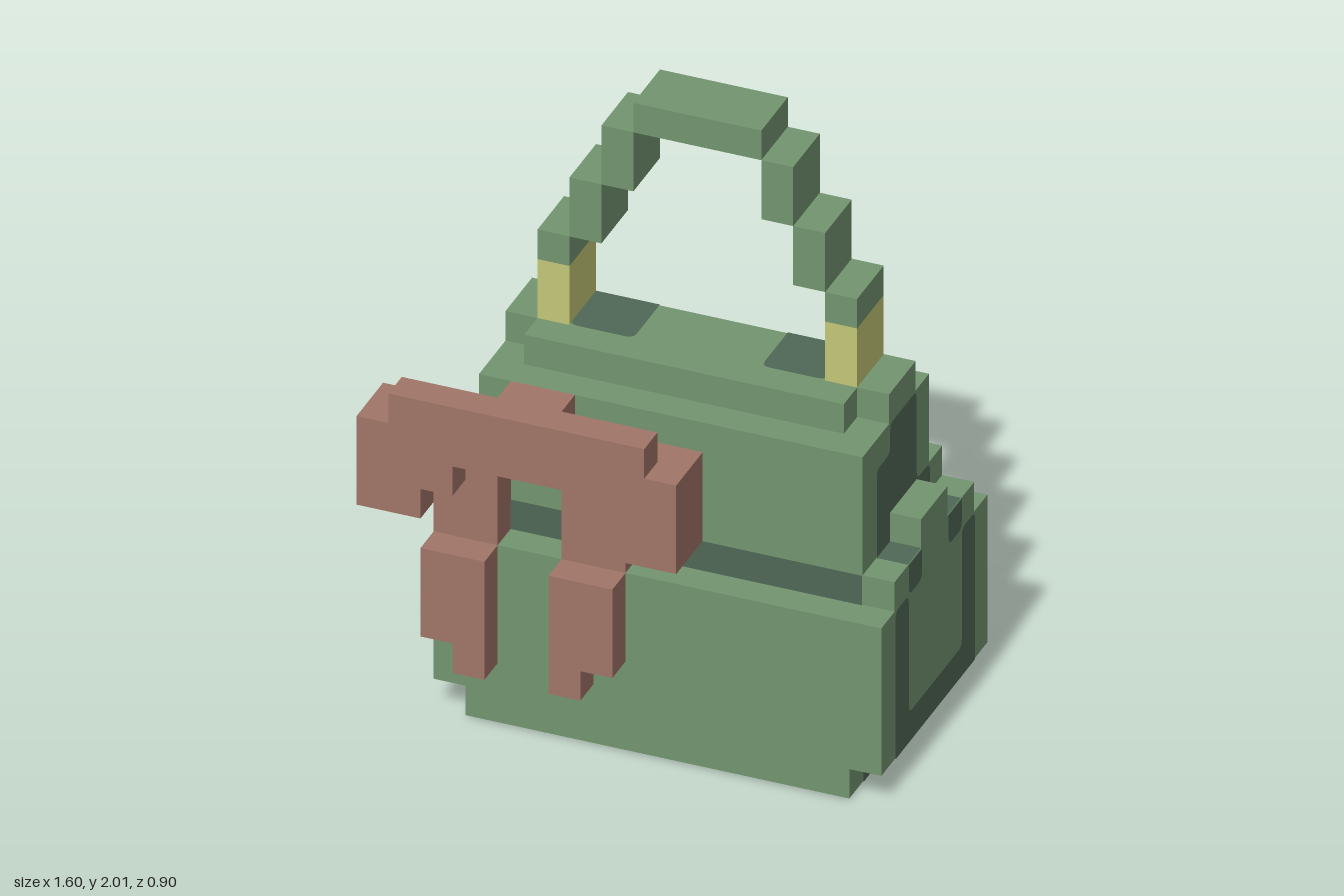
import * as THREE from 'three';

const mat = (name, color) => Object.assign(new THREE.MeshStandardMaterial({ color }), { name });

export function createModel() {
  const green = mat('green', 0x739570);
  const dark = mat('darkGreen', 0x506857);
  const yellow = mat('yellow', 0xc4c778);
  const red = mat('red', 0xa17568);
  const model = new THREE.Group();
  model.name = 'handbag';

  const group = (name) => {
    const g = new THREE.Group();
    g.name = name;
    model.add(g);
    return g;
  };

  // box given by its extents on each axis
  const box = (parent, name, material, x0, x1, y0, y1, z0, z1) => {
    const m = new THREE.Mesh(new THREE.BoxGeometry(x1 - x0, y1 - y0, z1 - z0), material);
    m.position.set((x0 + x1) / 2, (y0 + y1) / 2, (z0 + z1) / 2);
    m.name = name;
    parent.add(m);
  };

  // flat painted patch: points are (z,y) on sides, (x,z) on top and bottom, (x,y) on front and back
  const H = Math.PI / 2;
  const faces = {
    right: { rot: [0, H, 0], uv: (a, b) => [-a, b], n: [1, 0, 0] },
    left: { rot: [0, -H, 0], uv: (a, b) => [a, b], n: [-1, 0, 0] },
    top: { rot: [-H, 0, 0], uv: (a, b) => [a, -b], n: [0, 1, 0] },
    bottom: { rot: [H, 0, 0], uv: (a, b) => [a, b], n: [0, -1, 0] },
    front: { rot: [0, 0, 0], uv: (a, b) => [a, b], n: [0, 0, 1] },
    back: { rot: [0, Math.PI, 0], uv: (a, b) => [-a, b], n: [0, 0, -1] },
  };
  const paint = (parent, name, material, face, depth, pts, radius = 0, lift = 0.003) => {
    const f = faces[face];
    const p = pts.map(([a, b]) => new THREE.Vector2(...f.uv(a, b)));
    const shape = new THREE.Shape();
    p.forEach((c, i) => {
      const toward = (q) => c.clone().add(q.clone().sub(c).setLength(pts[i][2] ?? radius));
      const s = toward(p[(i + p.length - 1) % p.length]);
      const e = toward(p[(i + 1) % p.length]);
      if (i) shape.lineTo(s.x, s.y); else shape.moveTo(s.x, s.y);
      if ((pts[i][2] ?? radius) > 0) shape.quadraticCurveTo(c.x, c.y, e.x, e.y);
    });
    shape.closePath();
    const m = new THREE.Mesh(new THREE.ShapeGeometry(shape, 3), material);
    m.rotation.set(...f.rot);
    const sign = f.n[0] + f.n[1] + f.n[2];
    m.position.set(...f.n).multiplyScalar(depth * sign + lift);
    m.name = name;
    parent.add(m);
  };
  const rect = (a0, a1, b0, b1) => [[a0, b0], [a1, b0], [a1, b1], [a0, b1]];

  // lower body
  const body = group('body');
  box(body, 'base', green, -0.5, 0.7, 0, 0.1, -0.45, 0.35);
  box(body, 'lowerBody', green, -0.6, 0.8, 0.1, 0.6, -0.45, 0.35);
  box(body, 'rim', green, -0.6, 0.8, 0.6, 0.7, -0.35, 0.25);

  // upper body
  box(body, 'upperBody', green, -0.5, 0.7, 0.7, 1.1, -0.25, 0.25);
  box(body, 'backLedge', green, -0.5, 0.7, 0.7, 0.8, -0.35, -0.25);
  box(body, 'crown', green, -0.5, 0.7, 1.1, 1.2, -0.15, 0.05);
  box(body, 'crownFront', green, -0.4, 0.6, 1.1, 1.2, 0.05, 0.15);

  // dark trim on both ends
  const trim = group('darkTrim');
  const R = 0.025;
  for (const [side, face] of [[1, 'right'], [-1, 'left']]) {
    const outer = 0.1 + side * 0.7;
    const inner = 0.1 + side * 0.6;
    const x0 = Math.min(outer, inner), x1 = Math.max(outer, inner);
    box(body, 'sideTab', green, x0, x1, 0.7, 0.8, -0.15, 0.05);
    paint(trim, 'endBorder', dark, face, outer, [
      [-0.35, 0.1, 0], [0.25, 0.1, 0], [0.25, 0.6], [0.15, 0.6],
      [0.15, 0.2], [-0.25, 0.2], [-0.25, 0.6], [-0.35, 0.6],
    ], R);
    paint(trim, 'baseEnd', dark, face, inner, rect(-0.35, 0.25, 0, 0.1));
    paint(trim, 'underStep', dark, 'bottom', 0.1, rect(x0, x1, -0.35, 0.25));
    for (const z of [-0.25, 0.05]) {
      paint(trim, 'rimMark', dark, face, outer,
        [[z, 0.6, R], [z + 0.1, 0.6, R], [z + 0.1, 0.7], [z, 0.7]]);
      paint(trim, 'rimTopMark', dark, 'top', 0.7, rect(x0, x1, z, z + 0.1));
    }
    paint(trim, 'endPanel', dark, face, inner, [
      [0.15, 0.7, 0], [0.15, 1.0], [0.05, 1.0], [0.05, 1.1],
      [-0.15, 1.1], [-0.15, 0.8], [-0.25, 0.8], [-0.25, 0.7, 0],
    ], R);
  }

  // dark seam, underside and handle patches
  paint(trim, 'frontSeam', dark, 'front', 0.25, rect(-0.5, 0.7, 0.6, 0.7));
  paint(trim, 'underside', dark, 'bottom', 0, rect(-0.5, 0.7, -0.35, 0.25), 0, 0);
  trim.children.at(-1).position.y = -0.002;
  paint(trim, 'undersidePatch', green, 'bottom', 0, rect(-0.2, 0.4, -0.15, 0.05), R, 0.005);
  for (const x of [-0.3, 0.3]) {
    paint(trim, 'crownPatch', dark, 'top', 1.2,
      [[x, -0.15, 0], [x + 0.2, -0.15, 0], [x + 0.2, 0.05], [x, 0.05]], R);
    paint(trim, 'crownBackPatch', dark, 'back', -0.15,
      [[x, 1.1], [x + 0.2, 1.1], [x + 0.2, 1.2, 0], [x, 1.2, 0]], R);
  }

  // zip on the back with its pull
  const zip = group('zip');
  paint(zip, 'zipTrack', dark, 'back', -0.25, rect(-0.4, 0.6, 0.9, 1.0), R);
  for (const x of [-0.3, -0.1, 0.1, 0.3])
    paint(zip, 'zipTooth', yellow, 'back', -0.25, rect(x, x + 0.1, 0.9, 1.0), 0.015, 0.006);
  box(zip, 'zipPull', yellow, 0.5, 0.6, 0.8, 1.0, -0.35, -0.25);

  // stepped handle, mirrored about x = 0.1
  const handle = group('handle');
  for (const s of [-1, 1]) {
    const step = (name, m, d, y0, y1) => {
      const c = 0.1 + s * d;
      box(handle, name, m, c - 0.05, c + 0.05, y0, y1, -0.15, 0.05);
    };
    step('handleMount', yellow, 0.45, 1.2, 1.4);
    step('handleFoot', green, 0.45, 1.4, 1.5);
    step('handleStep', green, 0.35, 1.5, 1.7);
    step('handleStep', green, 0.25, 1.7, 1.9);
  }
  box(handle, 'handleTop', green, -0.1, 0.3, 1.9, 2.0, -0.15, 0.05);

  // bow, its loops mirrored about x = -0.3
  const bow = group('bow');
  box(bow, 'bowTop', red, -0.7, 0.1, 1.0, 1.1, 0.35, 0.45);
  box(bow, 'bowKnot', red, -0.4, -0.2, 1.0, 1.1, 0.25, 0.35);
  box(bow, 'bowBand', red, -0.8, 0.2, 0.9, 1.0, 0.25, 0.45);
  for (const s of [-1, 1]) {
    const part = (name, d0, d1, y0, y1, z0, z1) => {
      const a = -0.3 + s * d0, b = -0.3 + s * d1;
      box(bow, name, red, Math.min(a, b), Math.max(a, b), y0, y1, z0, z1);
    };
    part('bowLoop', 0.2, 0.5, 0.8, 0.9, 0.25, 0.45);
    part('bowLoopEnd', 0.3, 0.5, 0.7, 0.8, 0.25, 0.45);
    part('upperTail', 0.1, 0.3, 0.6, 0.8, 0.25, 0.35);
    part('upperTailInner', 0.1, 0.2, 0.8, 0.9, 0.25, 0.35);
  }
  for (const x of [-0.6, -0.2]) {
    box(bow, 'lowerTail', red, x, x + 0.2, 0.3, 0.6, 0.35, 0.45);
  }
  box(bow, 'tailTip', red, -0.5, -0.4, 0.2, 0.3, 0.35, 0.45);
  box(bow, 'tailTip', red, -0.2, -0.1, 0.2, 0.3, 0.35, 0.45);

  return model;
}
